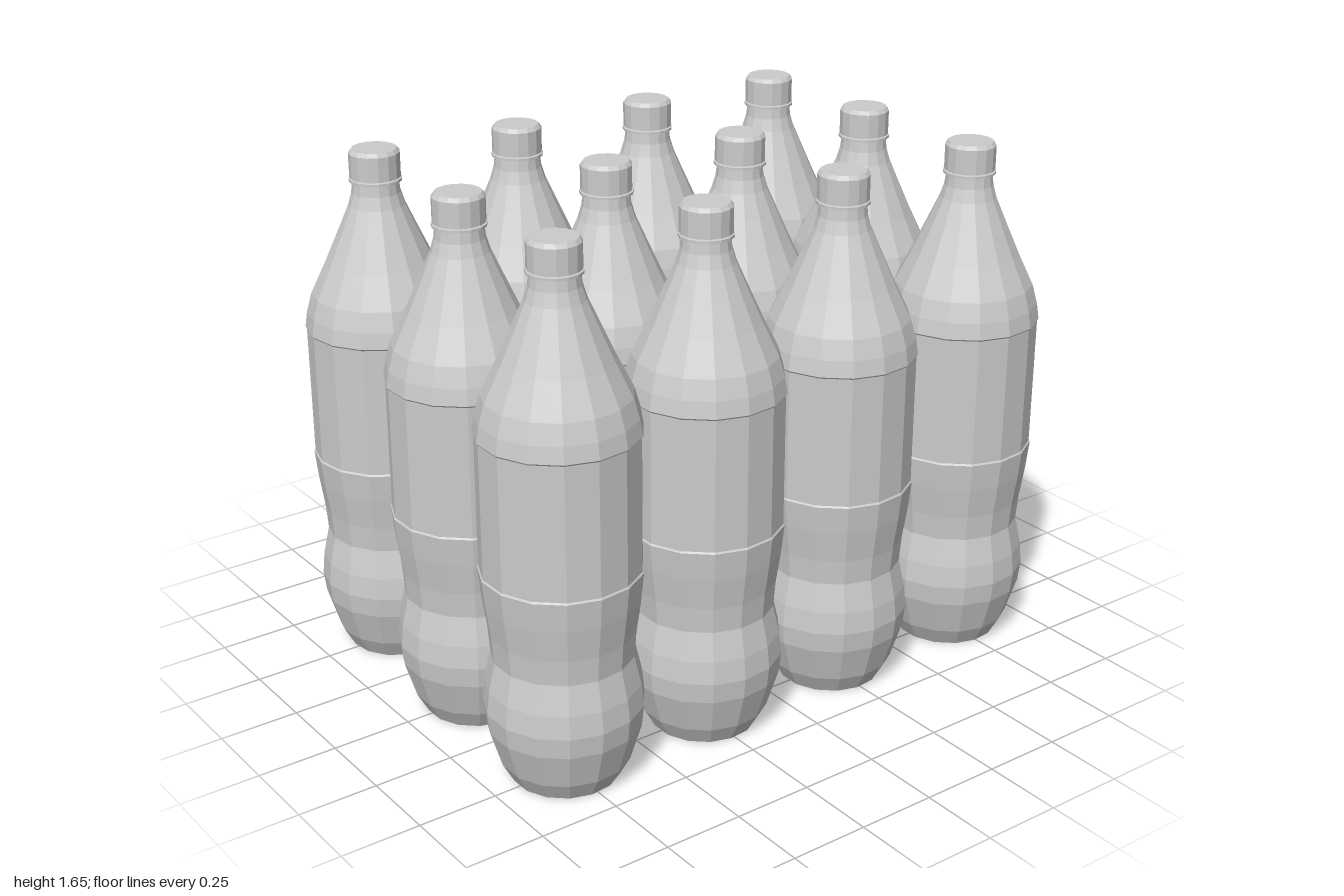
import * as THREE from 'three';

const SIDES = 15;

// Lathe from [radius, height] pairs, listed bottom to top
function turned(name, points, material) {
  const profile = points.map(([r, y]) => new THREE.Vector2(r, y));
  const mesh = new THREE.Mesh(new THREE.LatheGeometry(profile, SIDES), material);
  mesh.name = name;
  return mesh;
}

function createBottle(material) {
  const bottle = new THREE.Group();
  bottle.name = 'bottle';

  // Rounded foot with a pinched waist above it
  bottle.add(turned('lowerBody', [
    [0, 0], [0.162, 0], [0.195, 0.06], [0.23, 0.175], [0.237, 0.24], [0.23, 0.31],
    [0.21, 0.4], [0.216, 0.48], [0.23, 0.58], [0.239, 0.67], [0.235, 0.675],
  ], material));

  // Straight, slightly recessed label band
  bottle.add(turned('labelBand', [[0.235, 0.675], [0.235, 1.085]], material));

  // Shoulder tapering into the neck
  bottle.add(turned('shoulder', [
    [0.235, 1.085], [0.239, 1.09], [0.231, 1.14], [0.214, 1.2], [0.165, 1.3],
    [0.12, 1.4], [0.087, 1.475], [0.075, 1.515], [0.071, 1.55],
  ], material));

  // Neck ring
  bottle.add(turned('neckRing', [
    [0.066, 1.55], [0.081, 1.55], [0.081, 1.558], [0.068, 1.56],
  ], material));

  // Screw cap with a bevelled top
  bottle.add(turned('cap', [
    [0.066, 1.56], [0.078, 1.562], [0.078, 1.638], [0.069, 1.65], [0, 1.65],
  ], material));
  return bottle;
}

export function createModel() {
  const model = new THREE.Group();
  model.name = 'bottlePack';
  const material = new THREE.MeshStandardMaterial({ color: 0xcccccc, flatShading: true });
  const bottle = createBottle(material);

  // Three columns by four rows; the front right bottle has slipped out of line
  [-0.477, 0.011, 0.499].forEach((x, column) => {
    [-0.762, -0.256, 0.246, 0.754].forEach((z, row) => {
      const copy = bottle.clone();
      copy.name = `bottle${column + 1}_${row + 1}`;
      copy.position.set(x, 0, z);
      copy.rotation.y = Math.PI;
      if (column === 0 && row === 3) {
        copy.position.set(-0.508, 0, 0.733);
        copy.rotation.y += 0.15;
      }
      model.add(copy);
    });
  });
  return model;
}
